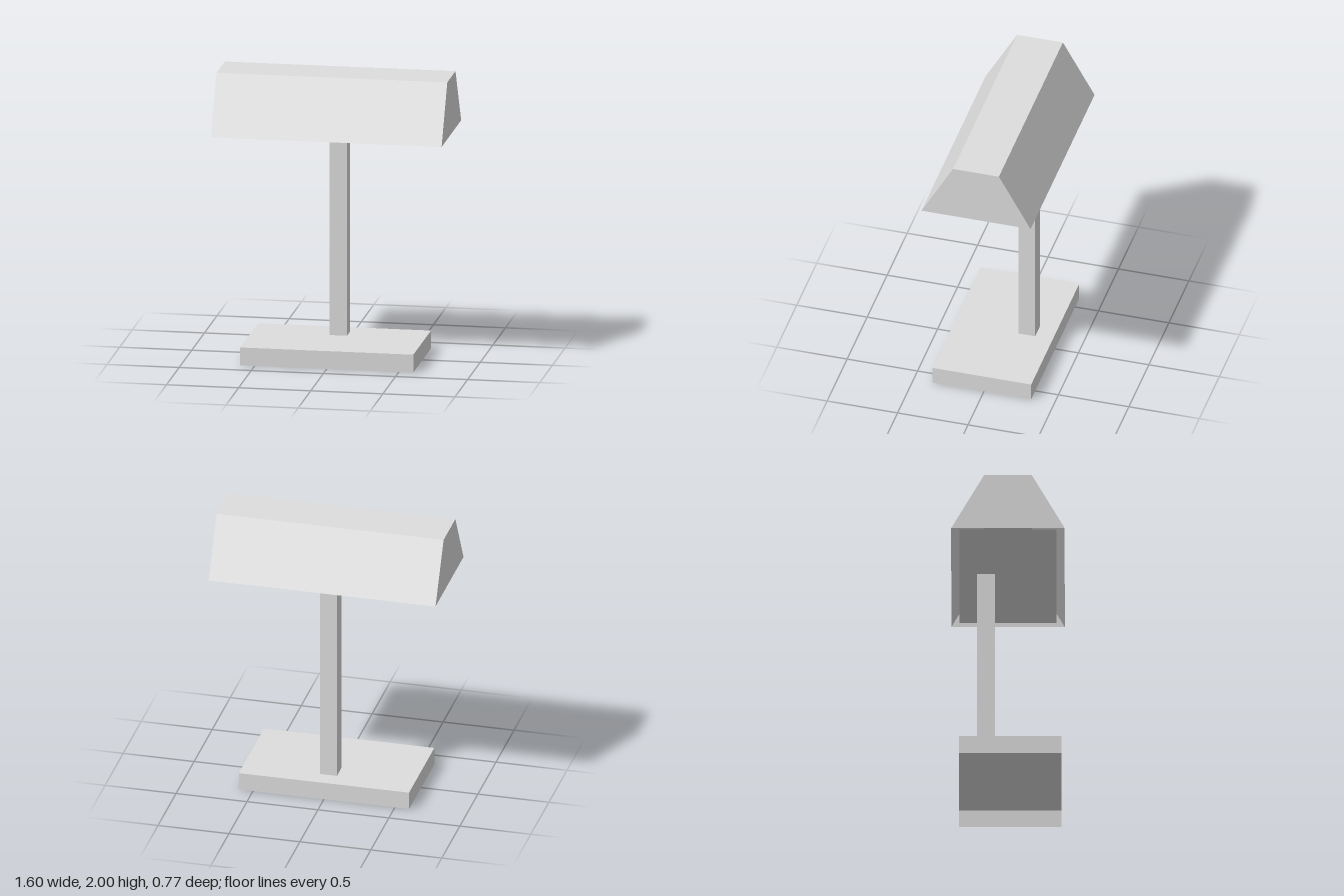
import * as THREE from 'three';

// Hollow box standing on y = 0 with no bottom; topDepth narrows the upper edge along z.
function openBox(width, height, depth, topDepth = depth) {
  const geometry = new THREE.BoxGeometry(width, height, depth).translate(0, height / 2, 0);
  const pos = geometry.attributes.position;
  for (let i = 0; i < pos.count; i++) {
    if (pos.getY(i) > height / 2) pos.setZ(i, Math.sign(pos.getZ(i)) * topDepth / 2);
  }
  // Drop the six indices of the downward face.
  const index = Array.from(geometry.index.array);
  index.splice(18, 6);
  geometry.setIndex(index);
  geometry.clearGroups();
  geometry.computeVertexNormals();
  return geometry;
}

export function createModel() {
  const model = new THREE.Group();
  model.name = 'deskLamp';

  const lightGrey = new THREE.MeshStandardMaterial({ color: 0xdddddd, side: THREE.DoubleSide });
  lightGrey.name = 'light grey';

  const add = (name, geometry, x, y, z) => {
    const mesh = new THREE.Mesh(geometry, lightGrey);
    mesh.name = name;
    mesh.position.set(x, y, z);
    model.add(mesh);
  };

  // Hollow foot, open underneath
  add('base', openBox(1.2, 0.125, 0.7), 0, 0, 0.015);

  // Square upright, set towards the back
  add('post', new THREE.BoxGeometry(0.12, 1.475, 0.12), 0, 0.8625, -0.15);

  // Long hollow shade with sloping front and back
  add('shade', openBox(1.6, 0.4, 0.775, 0.325), 0, 1.6, 0);

  // Thin light panel just inside the shade opening
  add('lightPanel', new THREE.PlaneGeometry(1.51, 0.66).rotateX(Math.PI / 2), 0, 1.61, 0);

  return model;
}
